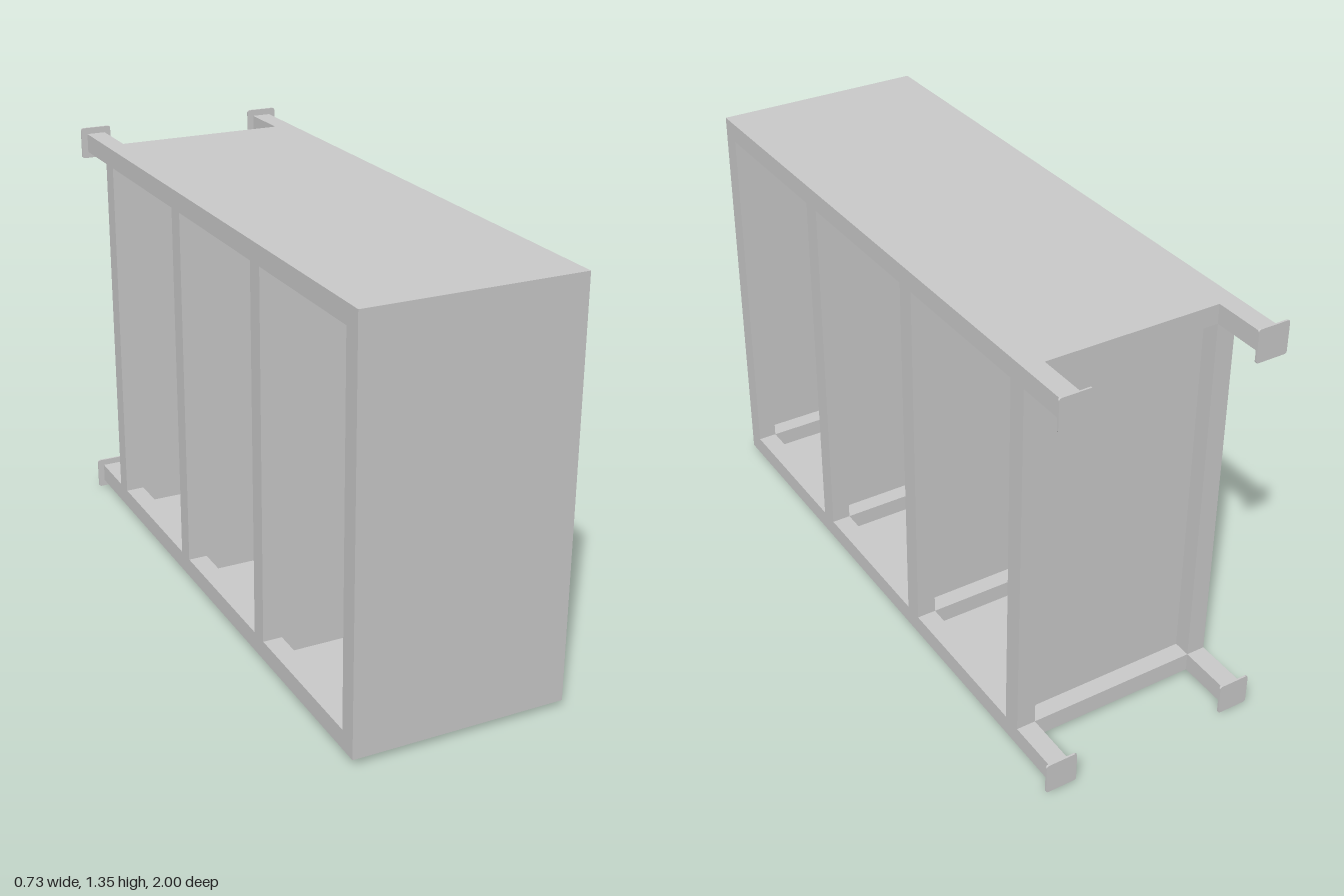
import * as THREE from 'three';

const BAR = 0.062;            // square tube size
const SHEET = 0.005;          // panel thickness
const X = 0.312;              // rail centre offset in x
const MID = 0.678;            // centre height
const DY = 0.624;             // rail centre offset in y
const LEVELS = [0.969, 0.386, -0.197, -0.78];   // frame centres along z
const FOOT_T = 0.006;

const material = new THREE.MeshStandardMaterial({ color: 0xcccccc });

function box(parent, name, w, h, d, x, y, z) {
  const mesh = new THREE.Mesh(new THREE.BoxGeometry(w, h, d), material);
  mesh.name = name;
  mesh.position.set(x, y, z);
  parent.add(mesh);
}

// Square plate with slightly rounded corners
function footGeometry(size, r) {
  const h = size / 2;
  const s = new THREE.Shape();
  s.absarc(h - r, h - r, r, 0, Math.PI / 2);
  s.absarc(-h + r, h - r, r, Math.PI / 2, Math.PI);
  s.absarc(-h + r, -h + r, r, Math.PI, Math.PI * 1.5);
  s.absarc(h - r, -h + r, r, Math.PI * 1.5, Math.PI * 2);
  s.closePath();
  return new THREE.ExtrudeGeometry(s, { depth: FOOT_T, bevelEnabled: false, curveSegments: 4 });
}

export function createModel() {
  const model = new THREE.Group();
  model.name = 'shelfFrame';
  const innerW = 2 * X - BAR;
  const innerH = 2 * DY - BAR;

  // Four long rails, each ending in a foot plate at the back
  const foot = footGeometry(0.104, 0.008);
  const railBack = -1 + FOOT_T;
  for (const sx of [-1, 1]) {
    for (const sy of [-1, 1]) {
      const y = MID + sy * DY;
      box(model, 'rail', BAR, BAR, 1 - railBack, sx * X, y, (1 + railBack) / 2);
      const plate = new THREE.Mesh(foot, material);
      plate.name = 'footPlate';
      plate.position.set(sx * X, y, -1);
      model.add(plate);
    }
  }

  // Rectangular frames, each with a thin sheet flush with its front face
  LEVELS.forEach((z) => {
    const frame = new THREE.Group();
    frame.name = 'shelf';
    for (const s of [-1, 1]) {
      box(frame, 'upright', BAR, innerH, BAR, s * X, MID, z);
      box(frame, 'crossbar', innerW, BAR, BAR, 0, MID + s * DY, z);
    }
    box(frame, 'shelfPanel', innerW, innerH, SHEET, 0, MID, z + BAR / 2 - SHEET / 2);
    model.add(frame);
  });

  // Thin sheets closing each bay above and below, flush with the outside
  for (let i = 0; i < LEVELS.length - 1; i++) {
    const z0 = LEVELS[i + 1] + BAR / 2;
    const z1 = LEVELS[i] - BAR / 2;
    for (const s of [-1, 1]) {
      const y = MID + s * (DY + BAR / 2 - SHEET / 2);
      box(model, 'sidePanel', innerW, SHEET, z1 - z0, 0, y, (z0 + z1) / 2);
    }
  }
  return model;
}
